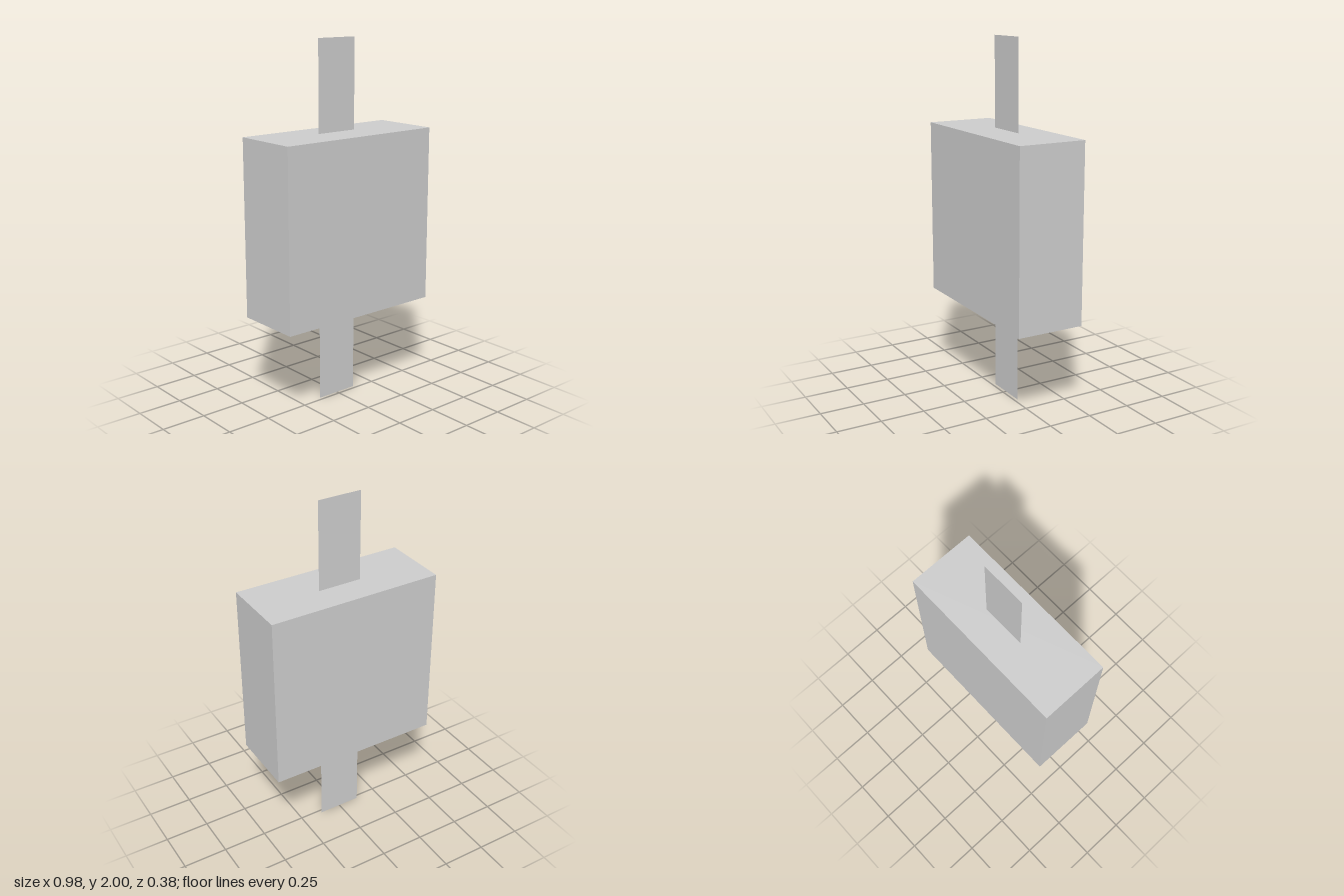
import * as THREE from 'three';

export function createModel() {
  const model = new THREE.Group();
  const grey = new THREE.MeshStandardMaterial({ color: 0xcccccc, flatShading: true });
  const thinGrey = new THREE.MeshStandardMaterial({
    color: 0xcccccc, flatShading: true, side: THREE.DoubleSide,
  });

  const bottom = 0.52, top = 1.503;

  // Solid block in the middle
  const block = new THREE.Mesh(new THREE.BoxGeometry(0.98, top - bottom, 0.382), grey);
  block.name = 'block';
  block.position.y = (bottom + top) / 2;
  model.add(block);

  // Paper-thin tabs above and below, set slightly behind the block's middle
  const addTab = (name, y0, y1) => {
    const tab = new THREE.Mesh(new THREE.PlaneGeometry(0.248, y1 - y0), thinGrey);
    tab.name = name;
    tab.position.set(0, (y0 + y1) / 2, -0.02);
    model.add(tab);
  };
  addTab('upperTab', top, 2);
  addTab('lowerTab', 0, bottom);

  return model;
}
